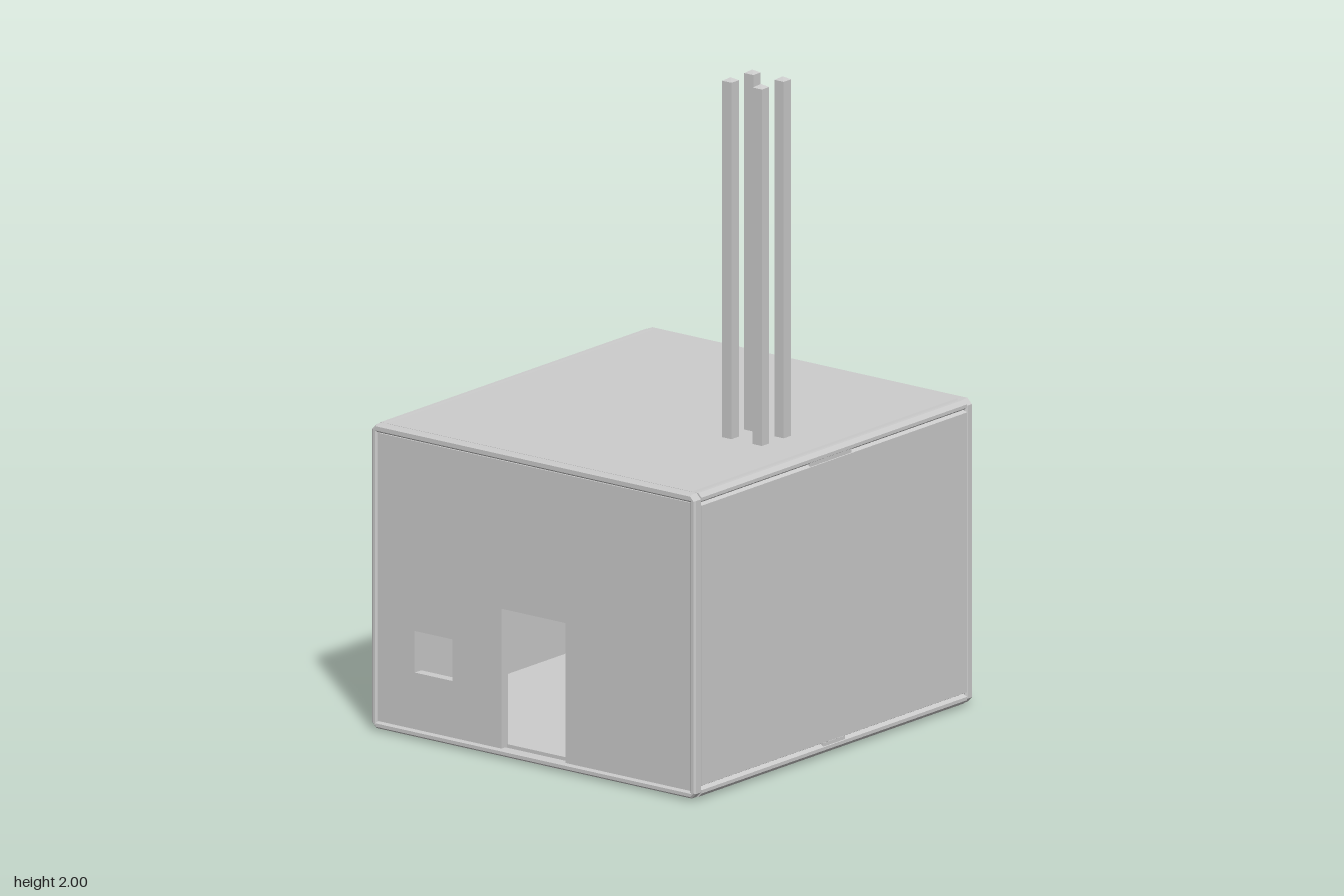
import * as THREE from 'three';

const mat = new THREE.MeshStandardMaterial({ color: 0xcccccc, flatShading: true, side: THREE.DoubleSide });
const Y0 = 0.008, Y1 = 0.92, ZH = 0.597;

function add(group, name, geometry, x = 0, y = 0, z = 0) {
  const mesh = new THREE.Mesh(geometry, mat);
  mesh.name = name;
  mesh.position.set(x, y, z);
  group.add(mesh);
  return mesh;
}

function box(group, name, x0, x1, y0, y1, z0, z1) {
  return add(group, name, new THREE.BoxGeometry(x1 - x0, y1 - y0, z1 - z0),
    (x0 + x1) / 2, (y0 + y1) / 2, (z0 + z1) / 2);
}

// Closed outline from [z, y] points
const outline = (pts, Type = THREE.Shape) => new Type(pts.map(p => new THREE.Vector2(p[0], p[1])));
const rect = (z0, z1, y0, y1) => [[z0, y0], [z1, y0], [z1, y1], [z0, y1]];

// Rectangle with cut corners
function chamfered(z, y0, y1, c) {
  return [[-z + c, y0], [z - c, y0], [z, y0 + c], [z, y1 - c],
    [z - c, y1], [-z + c, y1], [-z, y1 - c], [-z, y0 + c]];
}

// Extrudes a z-y outline along x, from xMin to xMax
function extrudeX(shape, xMin, xMax, bevel = 0) {
  const g = new THREE.ExtrudeGeometry(shape, {
    depth: xMax - xMin - 2 * bevel, bevelEnabled: bevel > 0,
    bevelSize: bevel, bevelOffset: -bevel, bevelThickness: bevel, bevelSegments: 1
  });
  g.rotateY(-Math.PI / 2);
  g.translate(xMax - bevel, 0, 0);
  return g;
}

// Hollow sleeve profile: a small bead and groove at every long edge
function sleeveShape() {
  const corner = [[0, 0.036], [0.012, 0.030], [0, 0.022], [0, 0.012],
    [0.012, 0], [0.022, 0], [0.030, 0.012], [0.036, 0]];
  const place = (sz, top, list) => list.map(([a, b]) => [sz * (ZH - a), top ? Y1 - b : Y0 + b]);
  const back = [...corner].reverse();
  const shape = outline([
    ...place(-1, false, corner), ...place(1, false, back),
    ...place(1, true, corner), ...place(-1, true, back)
  ]);
  shape.holes.push(outline(rect(-ZH + 0.03, ZH - 0.03, Y0 + 0.03, Y1 - 0.03), THREE.Path));
  return shape;
}

export function createModel() {
  const model = new THREE.Group();
  model.name = 'boxWithRods';

  // Top, bottom, front and back
  add(model, 'sleeve', extrudeX(sleeveShape(), -0.615, 0.612));

  // Closed side
  add(model, 'closedSide', extrudeX(outline(chamfered(ZH, Y0, Y1, 0.016)), 0.61, 0.64, 0.006));

  // Side with doorway and window
  const side = outline([
    [-0.575, 0.03], [-0.12, 0.03], [-0.12, 0.45], [0.115, 0.45], [0.115, 0.03],
    [0.575, 0.03], [0.575, 0.895], [-0.575, 0.895]
  ]);
  side.holes.push(outline(rect(-0.44, -0.3, 0.2, 0.325), THREE.Path));
  add(model, 'doorSide', extrudeX(side, -0.64, -0.61));

  // Bevelled rim around the door side
  const rim = outline(chamfered(ZH, Y0, Y1, 0.016));
  rim.holes.push(outline(rect(-0.577, 0.577, 0.028, 0.897), THREE.Path));
  add(model, 'doorSideRim', extrudeX(rim, -0.645, -0.612, 0.005));

  // Curved leaf folded inwards from the door edge
  const leaf = new THREE.CylinderGeometry(0.08, 0.08, 0.41, 12, 1, true, Math.PI, Math.PI / 2);
  const leafMesh = add(model, 'doorLeaf', leaf, -0.535, 0.24, 0.195);
  leafMesh.material = new THREE.MeshStandardMaterial({ color: 0xcccccc, side: THREE.DoubleSide });

  // Doorstep below the doorway
  box(model, 'doorstep', -0.62, -0.51, 0, 0.015, -0.11, 0.14);

  // Small tabs in the front and back grooves
  for (const s of [-1, 1]) {
    box(model, 'upperTab', -0.11, 0.08, 0.885, 0.9, s * 0.587 - 0.008, s * 0.587 + 0.008);
    box(model, 'lowerTab', -0.05, 0.05, 0.026, 0.042, s * 0.587 - 0.008, s * 0.587 + 0.008);
  }

  // Four square rods with shallow pointed tips
  for (const x of [-0.106, -0.005]) {
    for (const z of [0.298, 0.41]) {
      const rod = new THREE.Group();
      rod.name = 'rod';
      box(rod, 'rodShaft', x - 0.017, x + 0.017, 0.89, 1.99, z - 0.017, z + 0.017);
      const tip = new THREE.ConeGeometry(0.017 * Math.SQRT2, 0.01, 4, 1, true);
      tip.rotateY(Math.PI / 4);
      add(rod, 'rodTip', tip, x, 1.995, z);
      model.add(rod);
    }
  }
  return model;
}
